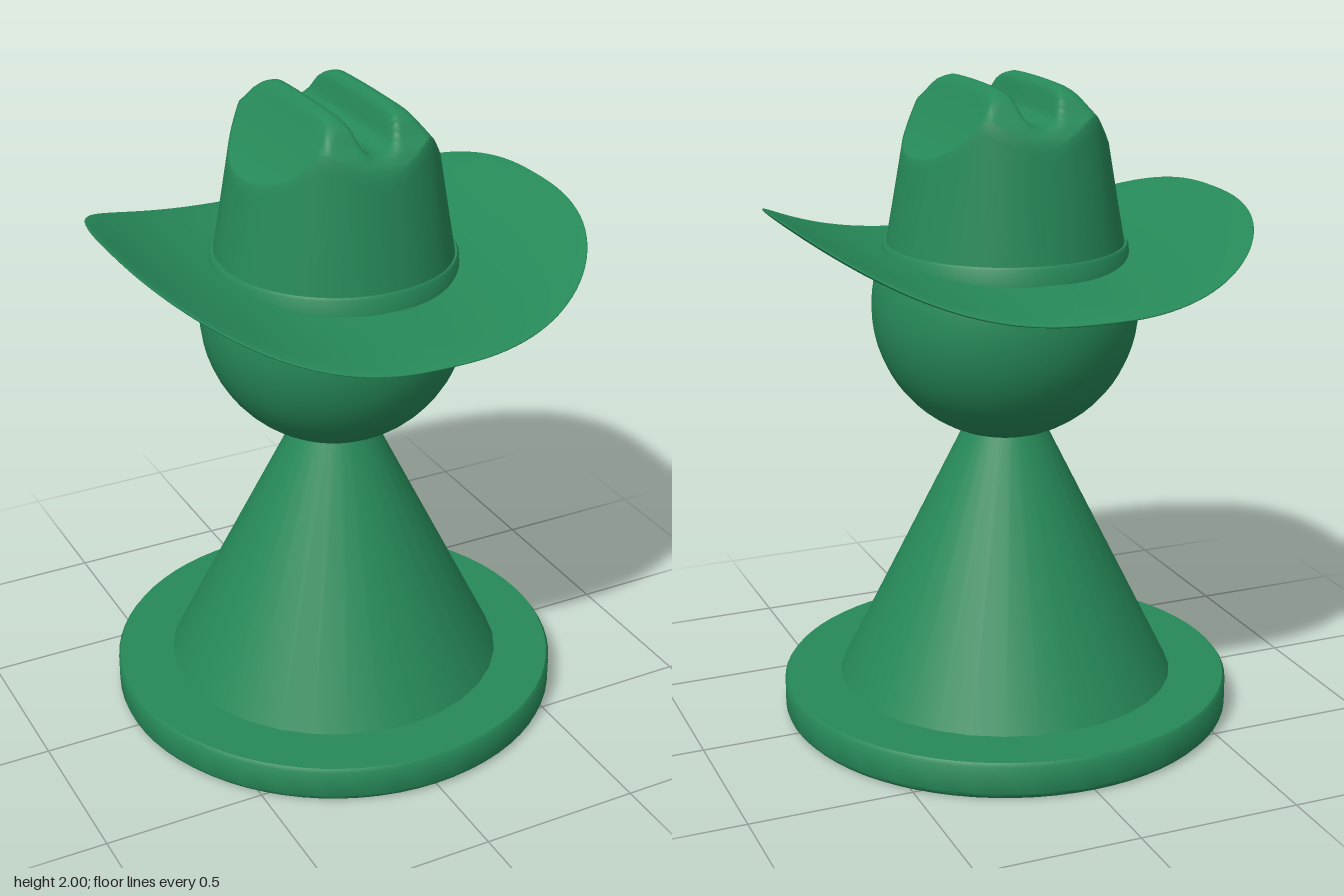
import * as THREE from 'three';
import { toCreasedNormals } from 'three/addons/utils/BufferGeometryUtils.js';

const SEG = 144;

// Skin a stack of closed loops; point(i, angle) returns [x, y, z]
function loft(rings, point) {
  const pos = [], idx = [];
  for (let i = 0; i <= rings; i++) {
    for (let j = 0; j < SEG; j++) pos.push(...point(i, (j / SEG) * Math.PI * 2));
  }
  for (let i = 0; i < rings; i++) {
    for (let j = 0; j < SEG; j++) {
      const k = (j + 1) % SEG;
      const a = i * SEG + j, b = a + SEG, c = i * SEG + k, d = c + SEG;
      idx.push(a, c, b, b, c, d);
    }
  }
  const geo = new THREE.BufferGeometry();
  geo.setAttribute('position', new THREE.Float32BufferAttribute(pos, 3));
  geo.setIndex(idx);
  geo.computeVertexNormals();
  return geo;
}

// Height from a short profile of [distance, y] pairs
function lookup(profile, d) {
  for (let i = 1; i < profile.length; i++) {
    const [d0, y0] = profile[i - 1], [d1, y1] = profile[i];
    if (d <= d1) return y0 + ((y1 - y0) * (d - d0)) / (d1 - d0);
  }
  return profile[profile.length - 1][1];
}

// Crown top: central groove, two ridges, sloping side dents, rounded ends
const across = [[0, 1.895], [0.03, 1.9], [0.05, 1.917], [0.06, 1.945], [0.07, 1.98],
  [0.085, 1.998], [0.1, 2.003], [0.115, 1.998], [0.13, 1.985], [0.16, 1.94],
  [0.2, 1.885], [0.24, 1.835], [0.275, 1.802], [0.3, 1.785], [0.32, 1.76]];
const along = [[0, 2.03], [0.17, 2.005], [0.22, 1.985], [0.245, 1.965], [0.27, 1.93],
  [0.3, 1.9], [0.325, 1.86], [0.336, 1.82]];
function crownTop(x, z) {
  const k = 0.01;
  const a = lookup(across, Math.abs(x)), b = lookup(along, Math.abs(z));
  return -k * Math.log(Math.exp((2 - a) / k) + Math.exp((2 - b) / k)) + 2;
}

function crownGeometry() {
  const top = 44, wall = 12;
  return loft(top + wall, (i, t) => {
    const c = Math.cos(t), s = Math.sin(t);
    if (i <= top) {
      const u = i / top, x = 0.305 * u * c, z = 0.333 * u * s;
      return [x, crownTop(x, z), z];
    }
    const v = (i - top) / wall;
    const edge = crownTop(0.305 * c, 0.333 * s);
    return [
      THREE.MathUtils.lerp(0.305, 0.372, v) * c,
      THREE.MathUtils.lerp(edge, 1.44, v),
      THREE.MathUtils.lerp(0.333, 0.378, v) * s,
    ];
  });
}

// Brim: squarish outline, sides curled up, front and back dipping
function brimGeometry() {
  const n = 20;
  return loft(n * 2, (i, t) => {
    const upper = i <= n;
    const u = Math.sin(((upper ? i : 2 * n - i) / n) * Math.PI / 2);
    const c = Math.cos(t), s = Math.sin(t);
    const outer = 0.705 / Math.pow(Math.abs(c) ** 2.5 + Math.abs(s) ** 2.5, 0.4);
    const r = THREE.MathUtils.lerp(0.35, outer, u);
    const x = r * c, z = r * s, ax = Math.min(1, Math.abs(x) / 0.705);
    const mid = 1.42 + 0.205 * ax ** 2.5
      + 0.035 * Math.max(0, 1 - (z / 0.7) ** 2) * (1 - ax);
    const half = 0.012 * Math.sqrt(Math.max(0, 1 - u ** 8));
    return [x, mid + (upper ? half : -half), z];
  });
}

export function createModel() {
  const model = new THREE.Group();
  const green = new THREE.MeshStandardMaterial({ color: 0x268958 });
  green.name = 'green';

  const add = (parent, name, geometry, y = 0) => {
    const mesh = new THREE.Mesh(geometry, green);
    mesh.name = name;
    mesh.position.y = y;
    parent.add(mesh);
    return mesh;
  };

  // Round foot with softened edges
  const footProfile = [[0, 0], [0.69, 0], [0.702, 0.012], [0.705, 0.02], [0.705, 0.105],
    [0.697, 0.116], [0, 0.116]].map(([x, y]) => new THREE.Vector2(x, y));
  add(model, 'base', toCreasedNormals(new THREE.LatheGeometry(footProfile, 72), 0.7));

  // Conical body and ball head
  add(model, 'body', new THREE.CylinderGeometry(0.125, 0.53, 0.82, 32, 1, true), 0.52);
  add(model, 'head', new THREE.SphereGeometry(0.408, 48, 32), 1.31);

  // Hat
  const hat = new THREE.Group();
  hat.name = 'hat';
  model.add(hat);
  add(hat, 'hatCrown', crownGeometry());
  add(hat, 'hatBrim', brimGeometry());
  const bandProfile = [[0.376, 1.44], [0.372, 1.505], [0.367, 1.512], [0.35, 1.512]]
    .map(([x, y]) => new THREE.Vector2(x, y));
  const band = add(hat, 'hatBand', toCreasedNormals(new THREE.LatheGeometry(bandProfile, 72), 0.7));
  band.scale.z = 1.02;

  return model;
}
